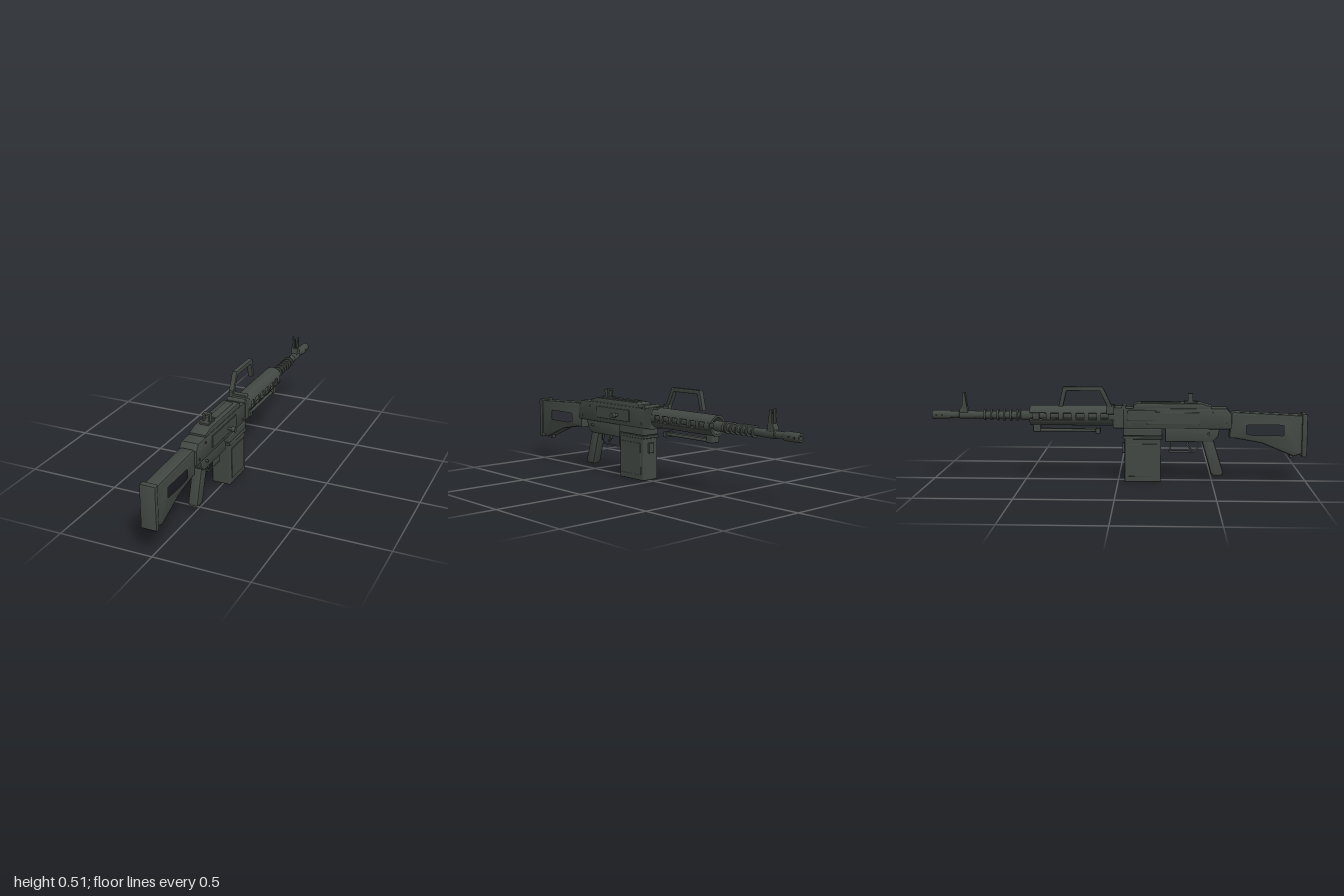
import * as THREE from 'three';
import { toCreasedNormals } from 'three/addons/utils/BufferGeometryUtils.js';
import { RoundedBoxGeometry } from 'three/addons/geometries/RoundedBoxGeometry.js';

export function createModel() {
  const model = new THREE.Group();
  const body = new THREE.Group();
  body.name = 'body';
  body.position.x = -0.01;
  model.add(body);

  const gunmetal = new THREE.MeshStandardMaterial({ color: 0x424843 });
  gunmetal.name = 'gunmetal';
  const shadowBlack = new THREE.MeshStandardMaterial({ color: 0x222523 });
  shadowBlack.name = 'dark recess';

  const add = (name, geo, mat = gunmetal) => {
    const mesh = new THREE.Mesh(geo, mat);
    mesh.name = name;
    body.add(mesh);
    return mesh;
  };
  // box given by its limits on each axis
  const box = (name, x0, x1, y0, y1, z0, z1, r = 0, mat) => {
    const s = [x1 - x0, y1 - y0, z1 - z0];
    const geo = r ? new RoundedBoxGeometry(...s, 2, r) : new THREE.BoxGeometry(...s);
    geo.translate((x0 + x1) / 2, (y0 + y1) / 2, (z0 + z1) / 2);
    return add(name, geo, mat);
  };
  const vecs = (pts) => pts.map(([a, b]) => new THREE.Vector2(a, b));
  // side outline in (z, y), extruded to a width across x
  const side = (name, pts, width, bevel = 0, x = 0, hole) => {
    const shape = new THREE.Shape(vecs(pts));
    if (hole) shape.holes.push(new THREE.Path(vecs(hole)));
    const geo = new THREE.ExtrudeGeometry(shape, {
      depth: width - 2 * bevel, bevelEnabled: bevel > 0, bevelSize: bevel,
      bevelThickness: bevel, bevelOffset: -bevel, bevelSegments: 2,
    });
    geo.translate(0, 0, -(width - 2 * bevel) / 2);
    geo.rotateY(-Math.PI / 2);
    geo.translate(x, 0, 0);
    return add(name, toCreasedNormals(geo, 0.6));
  };
  // turned part along -z, profile as [radius, distance forward]
  const turned = (name, pts, y, segments = 20) => {
    const geo = toCreasedNormals(new THREE.LatheGeometry(vecs(pts), segments), 0.6);
    geo.rotateX(-Math.PI / 2);
    geo.translate(0, y, 0);
    return add(name, geo);
  };
  // cylinder across x
  const pin = (name, x0, x1, y, z, r, mat) => {
    const geo = new THREE.CylinderGeometry(r, r, x1 - x0, 16);
    geo.rotateZ(Math.PI / 2);
    geo.translate((x0 + x1) / 2, y, z);
    return add(name, geo, mat);
  };

  // stock
  side('stock', [[0.59, 0.235], [0.59, 0.365], [0.61, 0.377], [0.975, 0.36], [0.975, 0.155],
    [0.93, 0.14], [0.76, 0.21], [0.62, 0.235]], 0.075, 0.012, 0,
  [[0.667, 0.25], [0.667, 0.31], [0.68, 0.32], [0.875, 0.32], [0.887, 0.31], [0.887, 0.25],
    [0.877, 0.24], [0.72, 0.24]]);
  side('buttPad', [[0.97, 0.14], [0.97, 0.37], [0.995, 0.367], [1, 0.355], [1, 0.145], [0.99, 0.135]], 0.084, 0.008);
  box('slingLoop', -0.012, 0.012, 0.13, 0.155, 0.91, 0.93, 0.004);

  // receiver
  side('receiver', [[0.025, 0.285], [0.025, 0.395], [0.575, 0.395], [0.6, 0.365], [0.6, 0.29], [0.59, 0.285]], 0.095, 0.005);
  box('receiverFront', -0.05, 0.05, 0.287, 0.397, -0.027, 0.03, 0.006);
  side('topCover', [[0.08, 0.39], [0.08, 0.41], [0.1, 0.421], [0.44, 0.421], [0.495, 0.405], [0.495, 0.39]], 0.09, 0.005);
  box('coverRib', -0.02, 0.02, 0.415, 0.427, 0.12, 0.33, 0.004);
  for (const s of [-1, 1]) {
    box('sidePanel', Math.min(s * 0.046, s * 0.054), Math.max(s * 0.046, s * 0.054), 0.31, 0.375, 0.15, 0.43, 0.003);
    for (const [y, z] of [[0.31, 0.57], [0.31, 0.06], [0.37, 0.5], [0.26, 0.48]])
      pin('receiverPin', s > 0 ? 0.035 : -0.051, s > 0 ? 0.051 : -0.035, y, z, 0.007);
  }
  pin('coverHinge', -0.052, 0.052, 0.4, 0.03, 0.012);
  pin('chargingStem', 0.05, 0.08, 0.34, 0.25, 0.008);
  pin('chargingKnob', 0.074, 0.095, 0.34, 0.25, 0.014);
  box('ejectionBlock', -0.056, -0.04, 0.33, 0.385, 0.05, 0.2, 0.005);

  // lower frame, grip and trigger
  side('lowerFrame', [[0.25, 0.215], [0.25, 0.29], [0.54, 0.29], [0.53, 0.245], [0.5, 0.215]], 0.075, 0.005);
  side('grip', [[0.442, 0.225], [0.507, 0.225], [0.56, 0.05], [0.557, 0.035], [0.545, 0.03],
    [0.505, 0.03], [0.493, 0.045]], 0.056, 0.012);
  side('triggerGuard', [[0.27, 0.22], [0.43, 0.22], [0.43, 0.18], [0.405, 0.155], [0.27, 0.155]], 0.03, 0, 0,
    [[0.279, 0.215], [0.421, 0.215], [0.421, 0.183], [0.401, 0.164], [0.279, 0.164]]);
  side('trigger', [[0.36, 0.22], [0.38, 0.22], [0.372, 0.195], [0.39, 0.173], [0.383, 0.17], [0.362, 0.192]], 0.014);

  // box magazine
  box('magazine', -0.052, 0.052, 0, 0.235, 0.035, 0.228, 0.006);
  for (const s of [-1, 1]) box('magazinePanel', s * 0.052 - 0.003, s * 0.052 + 0.003, 0.03, 0.205, 0.055, 0.208, 0.002);
  box('magazineCollar', -0.055, 0.055, 0.23, 0.246, 0.025, 0.236, 0.004);
  box('magazineWell', -0.054, 0.054, 0.248, 0.288, 0.028, 0.234, 0.006);
  box('magazineCatch', -0.018, 0.018, 0.15, 0.205, 0.022, 0.04, 0.003);

  // handguard: two curved shells joined by bars between the vent slots
  const arc = (name, a0, a1, outer, inner, z0, z1) => {
    const shape = new THREE.Shape();
    shape.absarc(0, 0, outer, a0, a1, false);
    shape.absarc(0, 0, inner, a1, a0, true);
    const geo = new THREE.ExtrudeGeometry(shape, { depth: z1 - z0, bevelEnabled: false, curveSegments: 16 });
    geo.translate(0, 0.35, z0);
    return add(name, toCreasedNormals(geo, 0.5));
  };
  const gap = 0.36;
  arc('upperHandguard', gap, Math.PI - gap, 0.054, 0.042, -0.47, -0.02);
  arc('lowerHandguard', Math.PI + gap, 2 * Math.PI - gap, 0.054, 0.042, -0.47, -0.02);
  for (let i = 0; i < 7; i++) {
    const z = -0.035 - i * 0.067;
    const half = i === 0 || i === 6 ? 0.018 : 0.012;
    for (const a of [0, Math.PI]) arc('ventBar', a - gap, a + gap, 0.051, 0.042, Math.max(z - half, -0.465), z + half);
  }

  // barrel
  turned('barrel', [[0.02, 0], [0.02, 0.46], [0.027, 0.46], [0.027, 0.52], [0.02, 0.525], [0.02, 0.77],
    [0.022, 0.77], [0.022, 0.85], [0.018, 0.855], [0.018, 0.9], [0.024, 0.91], [0.024, 0.995],
    [0.021, 1], [0.011, 1], [0.011, 0.96], [0, 0.96]], 0.35);
  for (let i = 0; i < 6; i++) {
    const z = 0.54 + i * 0.035;
    turned('coolingRing', [[0.018, z - 0.005], [0.03, z - 0.005], [0.03, z + 0.005], [0.018, z + 0.005]], 0.35);
  }
  for (const z of [-0.945, -0.975])
    for (const s of [-1, 1]) pin('muzzlePort', s * 0.0225 - 0.002, s * 0.0225 + 0.002, 0.35, z, 0.006, shadowBlack);

  // front sight
  side('frontSightBase', [[-0.85, 0.36], [-0.85, 0.38], [-0.838, 0.4], [-0.812, 0.4], [-0.805, 0.36]], 0.036);
  for (const s of [-1, 1])
    side('frontSightEar', [[-0.838, 0.385], [-0.832, 0.47], [-0.822, 0.47], [-0.81, 0.385]], 0.008, 0, s * 0.015);
  box('frontSightPost', -0.003, 0.003, 0.39, 0.455, -0.828, -0.822);

  // rear sight
  box('rearSightBase', -0.025, 0.025, 0.415, 0.43, 0.35, 0.42, 0.003);
  for (const s of [-1, 1]) box('rearSightWing', s * 0.016 - 0.004, s * 0.016 + 0.004, 0.42, 0.471, 0.37, 0.396);
  box('rearSightBar', -0.02, 0.02, 0.463, 0.471, 0.37, 0.396);

  // carrying handle swung to one side
  side('carryHandle', [[-0.03, 0.405], [-0.08, 0.511], [-0.288, 0.511], [-0.313, 0.405], [-0.29, 0.405],
    [-0.27, 0.489], [-0.095, 0.489], [-0.055, 0.405]], 0.027, 0.003, -0.062);
  box('handleMount', -0.07, -0.045, 0.365, 0.417, -0.06, -0.02, 0.003);
  box('handleClamp', -0.05, 0.03, 0.385, 0.409, -0.055, -0.02, 0.004);

  // folded bipod
  box('bipodMount', -0.028, 0.028, 0.262, 0.302, -0.455, -0.415, 0.005);
  for (const s of [-1, 1]) {
    const leg = new THREE.CylinderGeometry(0.008, 0.008, 0.33, 12);
    leg.rotateX(Math.PI / 2);
    leg.translate(s * 0.014, 0.271, -0.275);
    add('bipodLeg', leg);
    box('bipodFoot', s * 0.014 - 0.013, s * 0.014 + 0.013, 0.254, 0.284, -0.12, -0.095, 0.004);
  }
  return model;
}
